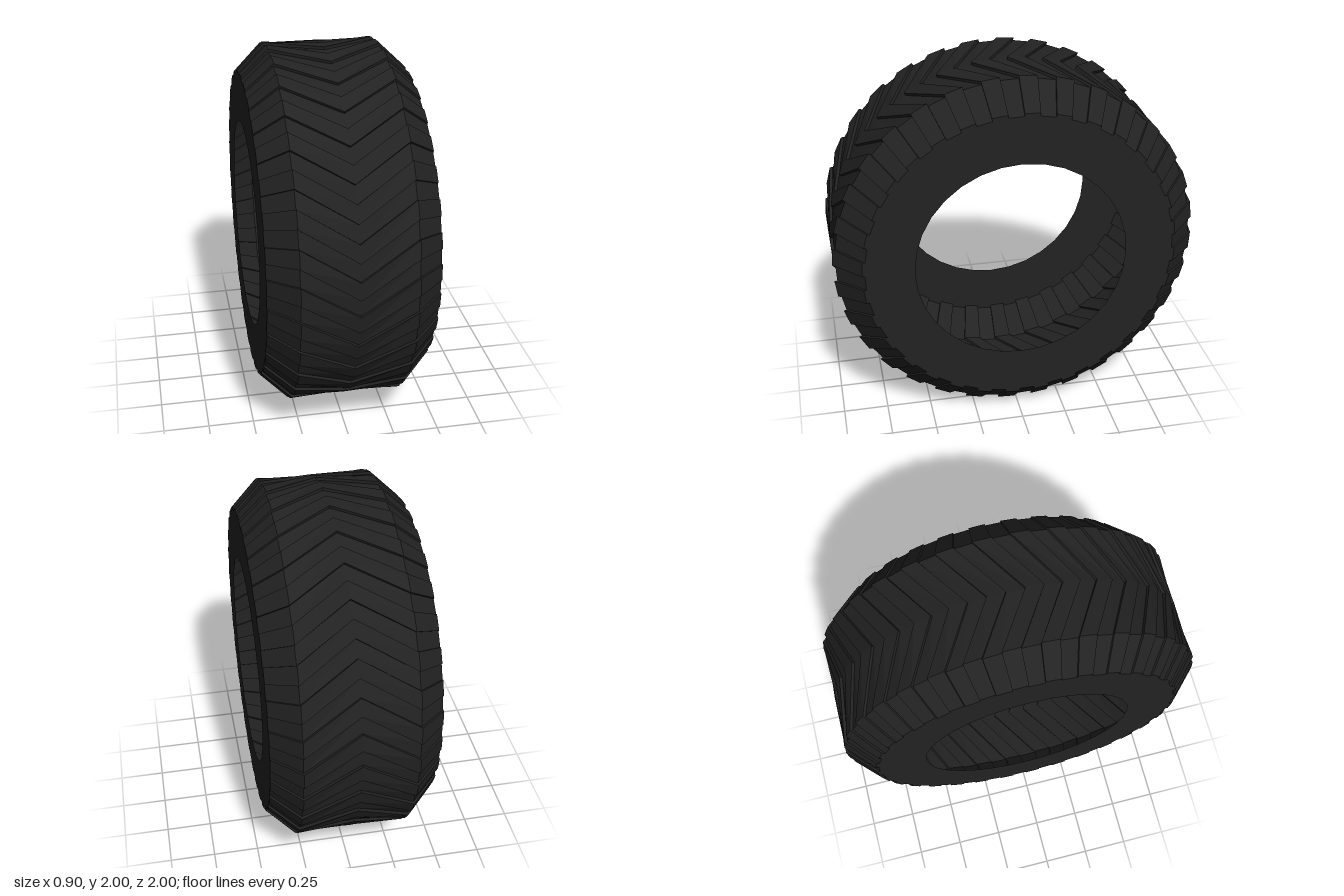
import * as THREE from 'three';

const TEETH = 32;
const PITCH = (Math.PI * 2) / TEETH;
const GROOVE = 0.016;   // groove depth
const HOLE = 0.576;     // radius of the wheel opening
const OFFSET = 0.008;   // angle of the first block

// Cross-section of the tread: x position, radius, and how far it is swept round
const SECTION = [
  { x: -0.45, r: 0.855, sweep: PITCH },
  { x: -0.30, r: 1.0, sweep: PITCH },
  { x: 0, r: 0.995, sweep: 0 },
  { x: 0.30, r: 1.0, sweep: PITCH },
  { x: 0.45, r: 0.855, sweep: PITCH },
];

// Stepped rim: each pitch is one raised block followed by one groove
const STEPS = [];
for (let i = 0; i < TEETH; i++) {
  const a = i * PITCH + OFFSET, b = a + PITCH / 2;
  STEPS.push([a, 0], [b, 0], [b, GROOVE], [a + PITCH, GROOVE]);
}

// Chevron tread and shoulders as one open shell
function treadGeometry() {
  const positions = [], index = [];
  const cols = SECTION.length, rows = STEPS.length;
  for (const [angle, drop] of STEPS) {
    for (const { x, r, sweep } of SECTION) {
      const t = angle + sweep, d = r - drop;
      positions.push(x, d * Math.sin(t), d * Math.cos(t));
    }
  }
  for (let i = 0; i < rows; i++) {
    for (let j = 0; j < cols - 1; j++) {
      const a = i * cols + j, d = ((i + 1) % rows) * cols + j;
      index.push(a, a + 1, d + 1, a, d + 1, d);
    }
  }
  const geometry = new THREE.BufferGeometry();
  geometry.setAttribute('position', new THREE.Float32BufferAttribute(positions, 3));
  geometry.setIndex(index);
  geometry.computeVertexNormals();
  return geometry;
}

// Flat side ring whose outer edge follows the blocks
function sidewallGeometry(side) {
  const edge = SECTION[0];
  const point = (t, r) => new THREE.Vector2(-side * r * Math.cos(t), r * Math.sin(t));
  const shape = new THREE.Shape(STEPS.map(([t, drop]) => point(t + edge.sweep, edge.r - drop)));
  const hole = [];
  for (let i = 0; i < TEETH; i++) hole.push(point(i * PITCH, HOLE));
  shape.holes.push(new THREE.Path(hole));
  const geometry = new THREE.ShapeGeometry(shape);
  geometry.rotateY((side * Math.PI) / 2);
  geometry.translate(side * 0.45, 0, 0);
  return geometry;
}

export function createModel() {
  const rubber = new THREE.MeshStandardMaterial({
    color: 0x222222, flatShading: true, side: THREE.DoubleSide,
  });
  const tire = new THREE.Group();
  tire.name = 'tire';
  const add = (name, geometry) => {
    const mesh = new THREE.Mesh(geometry, rubber);
    mesh.name = name;
    mesh.position.y = 1;
    tire.add(mesh);
  };
  add('tread', treadGeometry());
  add('leftSidewall', sidewallGeometry(1));
  add('rightSidewall', sidewallGeometry(-1));
  return tire;
}
